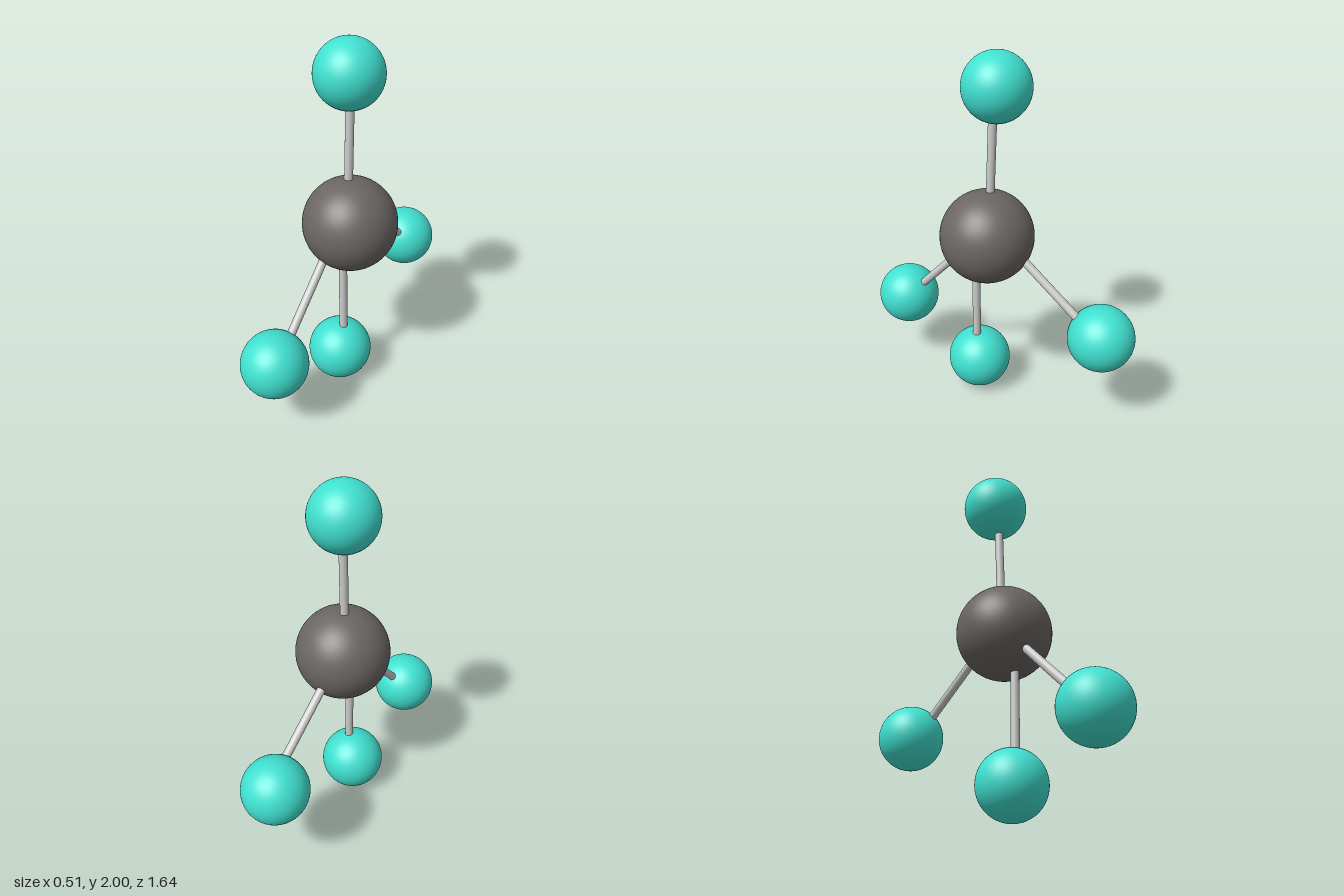
import * as THREE from 'three';

const BALL_RADIUS = 0.18;
const CORE_RADIUS = 0.257;
const ROD_RADIUS = 0.023;

export function createModel() {
  const model = new THREE.Group();
  model.name = 'ballAndStickModel';

  const teal = new THREE.MeshStandardMaterial({ color: 0x40e0d0 });
  const dark = new THREE.MeshStandardMaterial({ color: 0x6b6664 });
  const grey = new THREE.MeshStandardMaterial({ color: 0xcccccc });

  function addBall(name, radius, center, material) {
    const ball = new THREE.Mesh(new THREE.SphereGeometry(radius, 64, 40), material);
    ball.name = name;
    ball.position.set(...center);
    model.add(ball);
  }

  // Straight round rod between two points
  function addRod(name, from, to) {
    const a = new THREE.Vector3(...from);
    const b = new THREE.Vector3(...to);
    const dir = b.clone().sub(a);
    const rod = new THREE.Mesh(
      new THREE.CylinderGeometry(ROD_RADIUS, ROD_RADIUS, dir.length(), 24), grey);
    rod.name = name;
    rod.position.copy(a).add(b).multiplyScalar(0.5);
    rod.quaternion.setFromUnitVectors(new THREE.Vector3(0, 1, 0), dir.normalize());
    model.add(rod);
  }

  // Central ball
  addBall('centralBall', CORE_RADIUS, [0, 1.01, 0.037], dark);

  // Four outer balls, each with its rod running slightly off the centre line
  const arms = [
    { name: 'top', ball: [-0.03, 1.82, -0.003], rod: [[-0.016, 1.1, 0.032], [-0.016, 1.78, 0.008]] },
    { name: 'bottom', ball: [-0.025, 0.18, 0.108], rod: [[0.002, 0.92, 0.108], [0.002, 0.22, 0.108]] },
    { name: 'front', ball: [-0.055, 0.435, 0.643], rod: [[-0.042, 0.96, 0.123], [-0.042, 0.46, 0.604]] },
    { name: 'back', ball: [-0.055, 0.557, -0.638], rod: [[-0.021, 0.97, -0.1], [-0.021, 0.588, -0.598]] },
  ];
  for (const { name, ball, rod } of arms) {
    addBall(name + 'Ball', BALL_RADIUS, ball, teal);
    addRod(name + 'Rod', ...rod);
  }

  return model;
}
